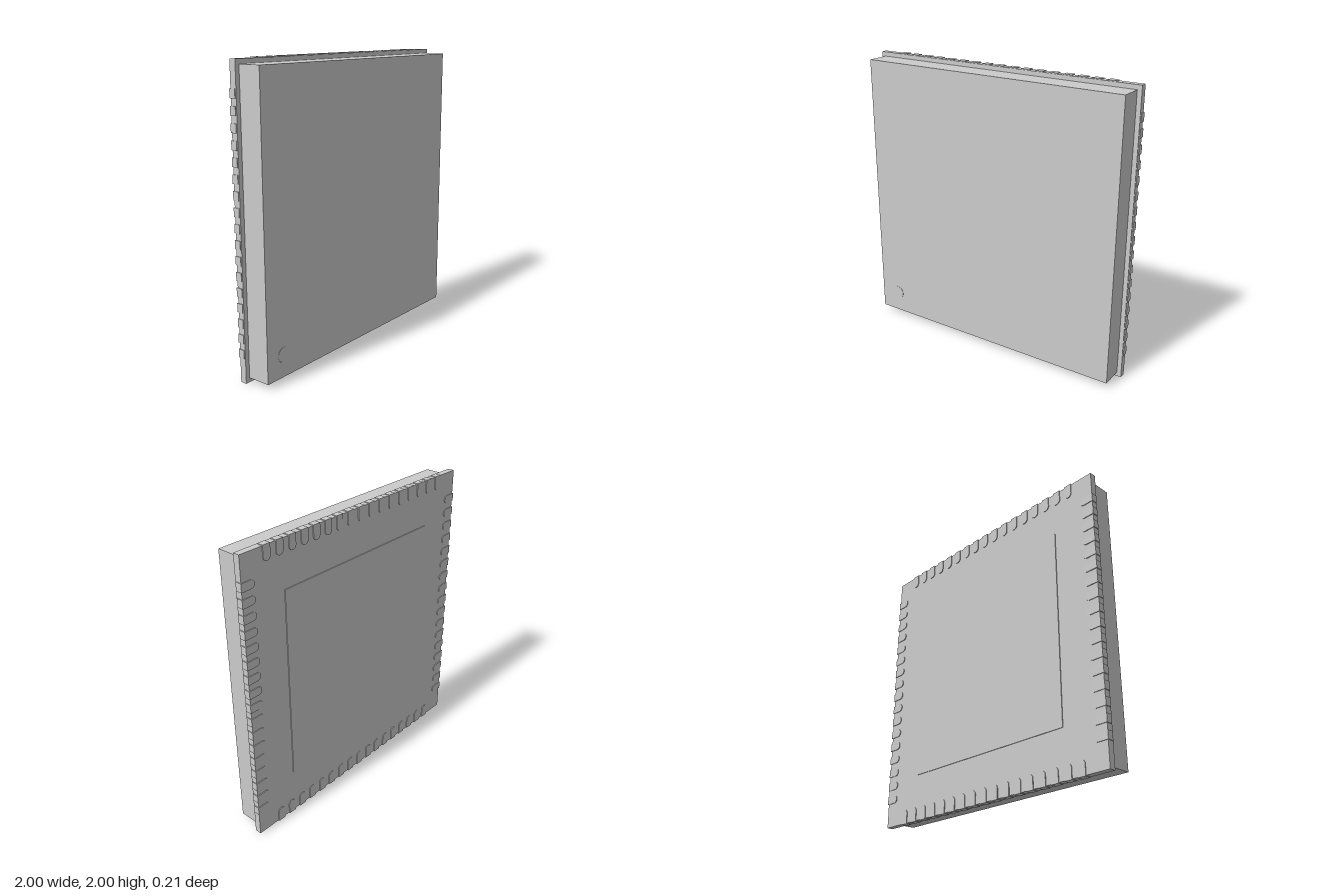
import * as THREE from 'three';

export function createModel() {
  const model = new THREE.Group();
  const material = new THREE.MeshStandardMaterial({ color: 0xcccccc });
  const add = (name, geometry, x, y, z, parent = model) => {
    const mesh = new THREE.Mesh(geometry, material);
    mesh.name = name;
    mesh.position.set(x, y, z);
    parent.add(mesh);
    return mesh;
  };

  // Moulded body in front of the wider carrier plate
  add('body', new THREE.BoxGeometry(1.93, 1.93, 0.16), 0, 1, 0.025);
  add('carrierPlate', new THREE.BoxGeometry(1.99, 1.99, 0.045), 0, 1, -0.0775);

  // Corner marker, almost flush with the front face
  const dot = add('cornerMarker', new THREE.CylinderGeometry(0.05, 0.05, 0.004, 24), -0.82, 0.185, 0.1045);
  dot.rotation.x = Math.PI / 2;

  // Large thermal pad on the back
  add('thermalPad', new THREE.BoxGeometry(1.35, 1.35, 0.01), 0, 1, -0.1);

  // Contact pad: outer end wraps the plate edge, inner end is rounded
  const w = 0.028;
  const shape = new THREE.Shape();
  shape.moveTo(-w, 0.1);
  shape.lineTo(-w, w);
  shape.absarc(0, w, w, Math.PI, Math.PI * 2, false);
  shape.lineTo(w, 0.1);
  shape.closePath();
  const padGeometry = new THREE.ExtrudeGeometry(shape, { depth: 0.044, bevelEnabled: false, curveSegments: 8 });

  // Seventeen contacts along each of the four sides
  for (let side = 0; side < 4; side++) {
    const row = new THREE.Group();
    row.name = 'contactRow' + (side + 1);
    row.position.y = 1;
    row.rotation.z = side * Math.PI / 2;
    for (let i = -8; i <= 8; i++) add('contactPad', padGeometry, i * 0.1, 0.9, -0.105, row);
    model.add(row);
  }
  return model;
}
